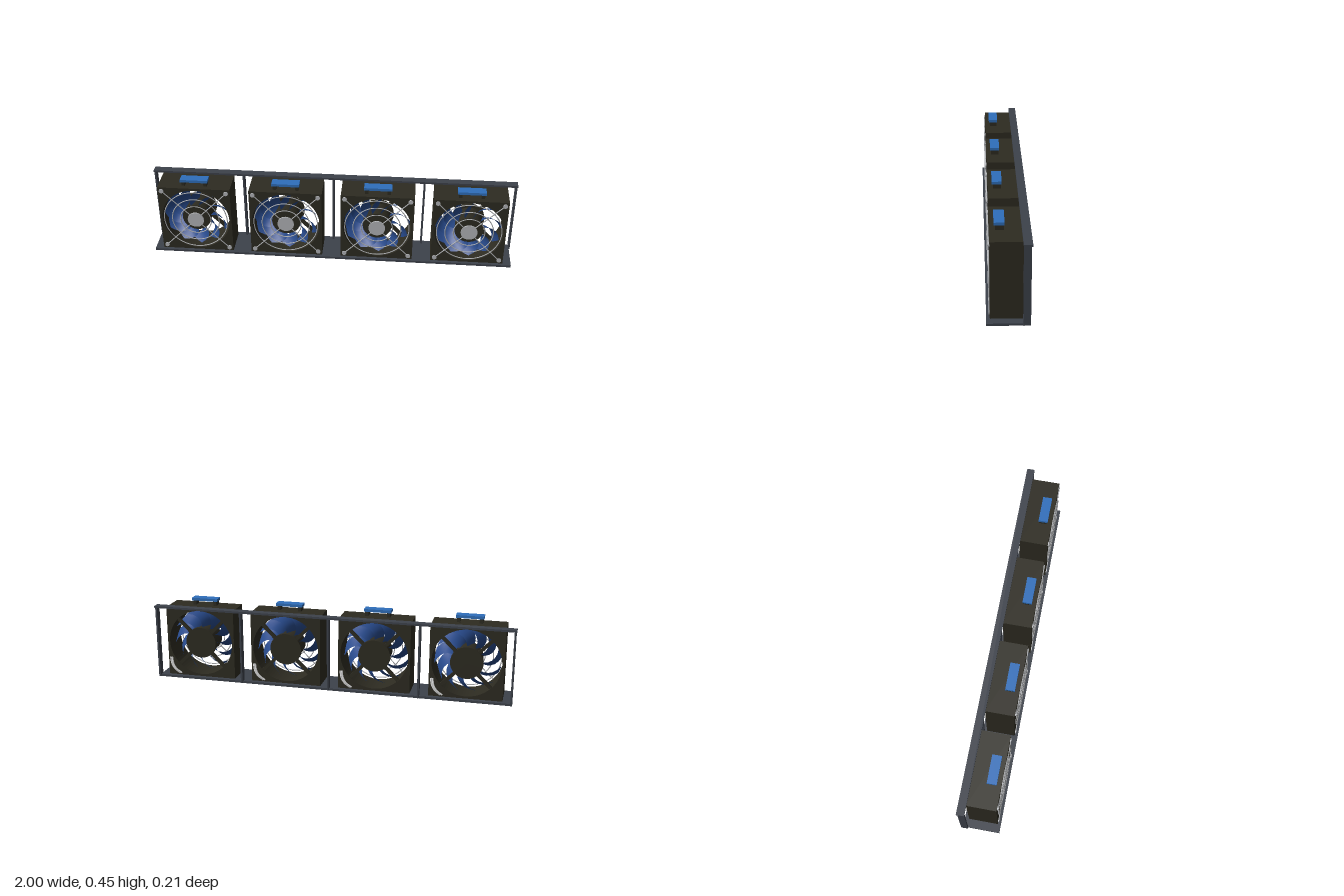
import * as THREE from 'three';

const mat = (name, color, side = THREE.FrontSide) =>
  Object.assign(new THREE.MeshStandardMaterial({ color, side }), { name });

export function createModel() {
  const frameMat = mat('slate frame', 0x3d424b);
  const bodyMat = mat('dark housing', 0x2d2b21);
  const blueMat = mat('blue handle', 0x2f6fbc);
  const bladeMat = mat('deep blue blade', 0x27498a, THREE.DoubleSide);
  const steelMat = mat('steel', 0xb4b6b9);
  const cableMat = mat('white cable', 0xe6e6e6);

  const add = (parent, name, geometry, material, x = 0, y = 0, z = 0) => {
    const mesh = new THREE.Mesh(geometry, material);
    mesh.name = name;
    mesh.position.set(x, y, z);
    parent.add(mesh);
    return mesh;
  };
  const box = (w, h, d) => new THREE.BoxGeometry(w, h, d);
  // Disc or cylinder with its axis along z
  const drum = (r, depth, sides = 32) =>
    new THREE.CylinderGeometry(r, r, depth, sides).rotateX(Math.PI / 2);

  const model = new THREE.Group();
  model.name = 'fanTray';

  // Tray: base plate, top rail and five thin uprights
  add(model, 'basePlate', box(1.98, 0.012, 0.197), frameMat, 0, 0.006, 0.0085);
  add(model, 'topRail', box(2, 0.011, 0.042), frameMat, 0, 0.4145, -0.084);
  for (const x of [-0.992, -0.498, 0, 0.498, 0.992]) {
    add(model, 'upright', box(0.01, 0.407, 0.036), frameMat, x, 0.2065, -0.082);
  }

  // Housing: a square block with a round bore
  const half = 0.198, bore = 0.186, front = 0.09, back = -0.066;
  const outline = new THREE.Shape([
    new THREE.Vector2(-half, -half), new THREE.Vector2(half, -half),
    new THREE.Vector2(half, half), new THREE.Vector2(-half, half),
  ]);
  outline.holes.push(new THREE.Path().absarc(0, 0, bore, 0, Math.PI * 2, true));
  const housingGeo = new THREE.ExtrudeGeometry(outline, {
    depth: front - back, bevelEnabled: false, curveSegments: 40,
  }).translate(0, 0, back);

  // Blade: a sheet that sweeps round and pitches back
  const bladeGeo = new THREE.PlaneGeometry(1, 1, 5, 6);
  const p = bladeGeo.attributes.position;
  for (let i = 0; i < p.count; i++) {
    const across = p.getX(i), t = p.getY(i) + 0.5;
    const r = 0.075 + 0.104 * t;
    const angle = across * (0.44 - 0.06 * t) - 0.55 * t * t;
    const z = 0.025 + across * (0.085 - 0.02 * t) + 0.012 * (0.25 - across * across);
    p.setXYZ(i, r * Math.cos(angle), r * Math.sin(angle), z);
  }
  bladeGeo.computeVertexNormals();

  const ringGeos = [0.085, 0.13, 0.175].map(r => new THREE.TorusGeometry(r, 0.0028, 6, 48));
  const spokeGeo = new THREE.CylinderGeometry(0.0028, 0.0028, 0.205, 6)
    .rotateZ(Math.PI / 2).translate(0.1425, 0, 0);
  const screwGeo = drum(0.0125, 0.006, 16);
  const strutGeo = box(0.12, 0.018, 0.014).translate(0.13, 0, 0);
  const cablePath = offset => new THREE.CatmullRomCurve3([
    new THREE.Vector3(0.186 - offset, -0.095, -0.068),
    new THREE.Vector3(0.178 - offset, -0.135, -0.073),
    new THREE.Vector3(0.16 - offset, -0.165, -0.073),
    new THREE.Vector3(0.132 - offset, -0.188, -0.068),
  ]);
  const cableGeos = [0, 0.009].map(o => new THREE.TubeGeometry(cablePath(o), 16, 0.005, 8));

  const makeFan = () => {
    const fan = new THREE.Group();
    fan.name = 'fan';
    add(fan, 'housing', housingGeo, bodyMat);

    // Rotor
    add(fan, 'rotorHub', drum(0.078, 0.105), bodyMat, 0, 0, 0.0175);
    for (let i = 0; i < 11; i++) {
      add(fan, 'blade', bladeGeo, bladeMat).rotation.z = i * Math.PI * 2 / 11;
    }

    // Rear motor mount with four struts
    add(fan, 'motorMount', drum(0.088, 0.022), bodyMat, 0, 0, -0.052);
    for (let i = 0; i < 4; i++) {
      const diagonal = Math.PI / 4 + i * Math.PI / 2;
      add(fan, 'strut', strutGeo, bodyMat, 0, 0, -0.054).rotation.z = diagonal;
      // Front guard spokes and corner screws
      add(fan, 'guardSpoke', spokeGeo, steelMat, 0, 0, 0.093).rotation.z = diagonal;
      add(fan, 'screw', screwGeo, steelMat,
        0.25 * Math.cos(diagonal), 0.25 * Math.sin(diagonal), 0.093);
    }
    for (const geo of ringGeos) add(fan, 'guardRing', geo, steelMat, 0, 0, 0.093);
    add(fan, 'guardDisc', drum(0.045, 0.007), steelMat, 0, 0, 0.093);

    // Pull handle on two stems
    add(fan, 'handle', box(0.15, 0.015, 0.051), blueMat, 0, 0.23, 0.0425);
    for (const s of [-1, 1]) {
      add(fan, 'handleStem', box(0.018, 0.028, 0.042), bodyMat, s * 0.06, 0.21, 0.041);
    }

    // Cable over the lower rear corner
    for (const geo of cableGeos) add(fan, 'cable', geo, cableMat);
    return fan;
  };

  for (const x of [-0.747, -0.249, 0.249, 0.747]) {
    const fan = makeFan();
    fan.position.set(x, 0.21, 0);
    model.add(fan);
  }
  return model;
}
